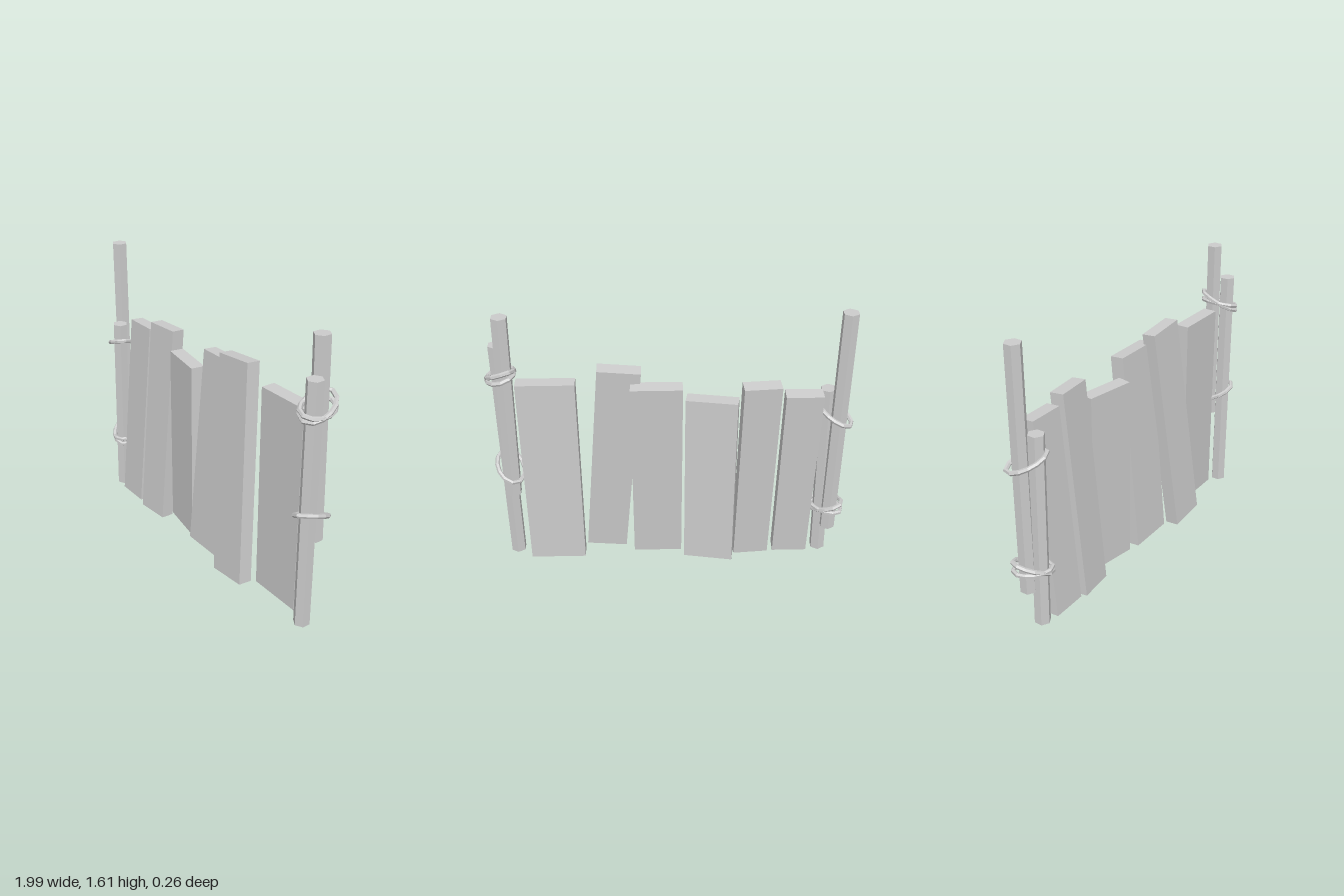
import * as THREE from 'three';

const material = new THREE.MeshStandardMaterial({ color: 0xcccccc, flatShading: true });

function addMesh(parent, name, geometry) {
  const mesh = new THREE.Mesh(geometry, material);
  mesh.name = name;
  parent.add(mesh);
  return mesh;
}

// Six-sided pole between two end points
function addPole(parent, name, bottom, top) {
  const a = new THREE.Vector3(...bottom), b = new THREE.Vector3(...top);
  const dir = b.clone().sub(a);
  const pole = addMesh(parent, name, new THREE.CylinderGeometry(0.045, 0.045, dir.length(), 6));
  pole.position.copy(a).add(b).multiplyScalar(0.5);
  pole.quaternion.setFromUnitVectors(new THREE.Vector3(0, 1, 0), dir.normalize());
}

// Elliptical rope loop lying in a plane that slopes along x and z
class LoopCurve extends THREE.Curve {
  constructor(o) {
    super();
    this.o = o;
  }
  getPoint(t, target = new THREE.Vector3()) {
    const { x, y, z, a, b, turn, sx, sz } = this.o;
    const u = a * Math.cos(t * Math.PI * 2), v = b * Math.sin(t * Math.PI * 2);
    const dx = u * Math.cos(turn) - v * Math.sin(turn);
    const dz = u * Math.sin(turn) + v * Math.cos(turn);
    return target.set(x + dx, y + sx * dx + sz * dz, z + dz);
  }
}

function addRope(parent, name, side, y, sx, sz) {
  const curve = new LoopCurve({ ...side, y, sx, sz });
  addMesh(parent, name, new THREE.TubeGeometry(curve, 12, 0.013, 6, true));
}

export function createModel() {
  const model = new THREE.Group();
  model.name = 'plankFence';

  // Planks: centre, size, then tilt, yaw and roll
  const planks = new THREE.Group();
  planks.name = 'planks';
  model.add(planks);
  [
    [[-0.712, 0.595, -0.03], [0.203, 1.145, 0.08], [-0.087, 0, 0]],
    [[-0.48, 0.615, -0.03], [0.205, 1.213, 0.08], [-0.087, 0.08, 0]],
    [[-0.223, 0.568, -0.04], [0.285, 1.09, 0.08], [0, -0.17, 0]],
    [[0.08, 0.632, -0.03], [0.28, 1.183, 0.08], [-0.087, 0, 0]],
    [[0.332, 0.67, 0.03], [0.235, 1.265, 0.08], [-0.087, 0, 0.087]],
    [[0.672, 0.632, -0.026], [0.318, 1.185, 0.08], [0, 0, 0]],
  ].forEach(([position, size, turn], i) => {
    const plank = addMesh(planks, `plank${i + 1}`, new THREE.BoxGeometry(...size));
    plank.position.set(...position);
    plank.rotation.set(...turn, 'YXZ');
  });

  // Paired poles at each end
  addPole(model, 'rightBackPole', [-0.92, 0.23, -0.04], [-0.92, 1.62, -0.04]);
  addPole(model, 'rightFrontPole', [-0.886, 0.03, 0.015], [-0.858, 1.14, 0.015]);
  addPole(model, 'leftBackPole', [0.897, 0.51, -0.042], [0.876, 1.615, -0.035]);
  addPole(model, 'leftFrontPole', [0.921, 0.03, 0.035], [0.921, 1.42, 0.035]);

  // Rope lashings around each pair
  const right = { x: -0.901, z: -0.018, a: 0.102, b: 0.068, turn: Math.PI / 4 };
  const left = { x: 0.906, z: -0.005, a: 0.103, b: 0.074, turn: Math.PI / 2 - 0.15 };
  addRope(model, 'rightUpperRope', right, 1.0, 0.38, 0.2);
  addRope(model, 'rightLowerRope', right, 0.375, -0.4, -0.15);
  addRope(model, 'rightLowerRopeWrap', right, 0.365, 0.05, 0);
  addRope(model, 'leftUpperRope', left, 1.267, -0.28, -0.42);
  addRope(model, 'leftUpperRopeWrap', left, 1.257, -0.25, -0.05);
  addRope(model, 'leftLowerRope', left, 0.665, 0.42, 0.35);

  return model;
}
